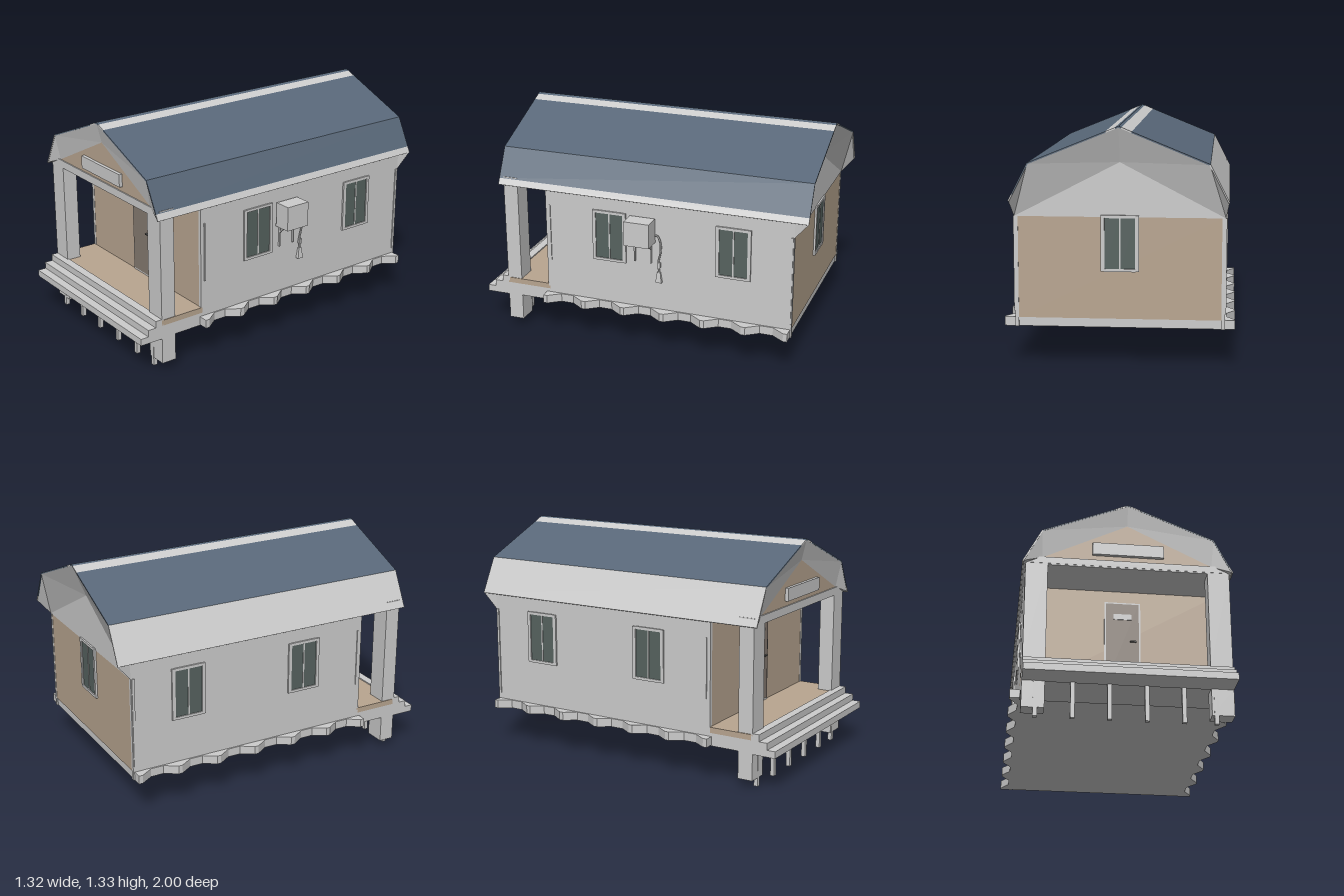
import * as THREE from 'three';

const GREY = 0xcccccc, TAN = 0xb8a590, BLUE = 0x586778, DOOR = 0x857a70, GLASS = 0x56625f, DARK = 0x555555;
const X0 = -0.605, X1 = 0.55, MID = -0.03;   // side walls and ridge line
const FRONT = 0.59, BACK = -0.92;            // end walls

const mats = {};
const mat = (color) => (mats[color] ??= new THREE.MeshStandardMaterial({ color, flatShading: true, side: THREE.DoubleSide }));

export function createModel() {
  const model = new THREE.Group();

  const add = (name, geo, color = GREY, parent = model) => {
    const m = new THREE.Mesh(geo, mat(color));
    m.name = name;
    parent.add(m);
    return m;
  };
  // Box given by its limits on each axis
  const box = (name, x0, x1, y0, y1, z0, z1, color, parent) => {
    const m = add(name, new THREE.BoxGeometry(x1 - x0, y1 - y0, z1 - z0), color, parent);
    m.position.set((x0 + x1) / 2, (y0 + y1) / 2, (z0 + z1) / 2);
    return m;
  };
  // Outline in x and y, extruded from z0 to z1
  const prism = (name, pts, z0, z1, color) => {
    const shape = new THREE.Shape(pts.map(([x, y]) => new THREE.Vector2(x, y)));
    const geo = new THREE.ExtrudeGeometry(shape, { depth: z1 - z0, bevelEnabled: false });
    return add(name, geo.translate(0, 0, z0), color);
  };
  const facets = (name, tris, color) => {
    const geo = new THREE.BufferGeometry();
    geo.setAttribute('position', new THREE.Float32BufferAttribute(tris.flat(2), 3));
    geo.computeVertexNormals();
    return add(name, geo, color);
  };

  // Floor plate with sawtooth long edges
  const edge = (wall, tip, shift) => {
    const pts = [];
    for (let i = 0; i < 7; i++) {
      const z = -0.9 + i * 0.248 + shift;
      pts.push([tip, z - 0.012], [tip, z + 0.012]);
      if (i < 6) pts.push([wall, z + 0.085], [wall, z + 0.163]);
    }
    return pts;
  };
  const rim = [...edge(X0 - 0.008, -0.66, 0), ...edge(X1 + 0.008, 0.61, 0).reverse()];
  const plate = new THREE.Shape(rim.map(([x, z]) => new THREE.Vector2(x, -z)));
  const plateGeo = new THREE.ExtrudeGeometry(plate, { depth: 0.05, bevelEnabled: false });
  add('floorPlate', plateGeo.rotateX(-Math.PI / 2).translate(0, 0.215, 0));

  // Walls
  const T = 0.02;
  box('rightWall', X0, X0 + T, 0.215, 0.93, BACK, FRONT);
  box('leftWall', X1 - T, X1, 0.215, 0.93, BACK, FRONT);
  box('frontWall', X0 + T, X1 - T, 0.265, 0.93, FRONT - T, FRONT - 0.002, TAN);
  box('backWall', X0 + T, X1 - T, 0.265, 0.83, BACK + 0.002, BACK + T, TAN);
  box('ceiling', X0 - 0.012, X1 + 0.012, 0.922, 0.932, BACK, 0.86);
  for (const [a, b] of [[X0 - 0.006, X0], [X1, X1 + 0.006]]) {
    box('cornerTrim', a, b, 0.3, 0.83, -0.915, -0.9);
    box('cornerTrim', a, b, 0.48, 0.83, 0.56, 0.568);
  }

  // Porch deck, steps, posts and stilts
  box('deckBase', X0, X1, 0.21, 0.285, FRONT - 0.01, 0.86);
  box('deckBoards', X0, X1, 0.285, 0.318, FRONT - 0.01, 0.86, TAN);
  [[0.285, 0.325, 0.9], [0.245, 0.285, 0.95], [0.205, 0.245, 1.0]].forEach(([y0, y1, z]) =>
    box('step', X0, X1, y0, y1, 0.85, z));
  for (const x of [X0, X1 - 0.125]) {
    box('porchPost', x, x + 0.125, 0.32, 0.93, 0.77, 0.86);
    box('postFooting', x, x + 0.125, 0.05, 0.21, 0.77, 0.86);
  }
  for (const x of [-0.53, -0.33, -0.13, 0.073, 0.275, 0.45])
    box('stilt', x - 0.012, x + 0.012, 0, 0.24, 0.838, 0.862);
  box('porchBeam', X0, X1, 0.93, 0.97, 0.77, 0.862);

  // Roof: strips along a gambrel profile, each with its own colour
  const profile = [
    [-0.625, 0.925, GREY], [-0.52, 1.13, BLUE], [-0.1, 1.301, GREY], [-0.045, 1.324, BLUE],
    [MID, 1.33, BLUE], [-0.01, 1.322, GREY], [0.04, 1.302, BLUE], [0.465, 1.13, BLUE],
    [0.552, 0.96, GREY], [0.57, 0.925],
  ];
  for (let i = 0; i < profile.length - 1; i++) {
    const [ax, ay, color] = profile[i], [bx, by] = profile[i + 1];
    const len = Math.hypot(bx - ax, by - ay), k = 0.008 / len;
    const nx = (by - ay) * k, ny = -(bx - ax) * k;
    prism('roofStrip', [[ax, ay], [bx, by], [bx + nx, by + ny], [ax + nx, ay + ny]], -1, 0.885, color);
  }

  // Gables: triangle set back from the roof edge, joined to it by sloping facets
  const gable = (name, zRoof, zTri, iL, iR, apex, color) => {
    const [eL, bL, r, bR, eR] = [[-0.622, 0.925], [-0.517, 1.126], [MID, 1.326], [0.462, 1.126], [0.567, 0.925]]
      .map(([x, y]) => [x, y, zRoof]);
    const [L, R, A] = [iL, iR, apex].map(([x, y]) => [x, y, zTri]);
    const cL = [X0, 0.925, zTri], cR = [X1, 0.925, zTri];
    facets(name + 'Soffit', [
      [eL, bL, L], [bL, A, L], [bL, r, A],
      [r, bR, A], [bR, R, A], [bR, eR, R],
      [eL, L, cL], [eR, cR, R],
    ]);
    facets(name + 'Triangle', [[L, R, A]], color);
  };
  gable('frontGable', 0.885, 0.855, [-0.51, 0.97], [0.45, 0.97], [MID, 1.205], TAN);
  gable('backGable', -1, BACK, [X0, 0.83], [X1, 0.83], [MID, 1.13], GREY);
  box('signBoard', -0.23, 0.175, 1.0, 1.075, 0.855, 0.875);

  // Door
  box('doorFrame', -0.133, 0.076, 0.318, 0.848, FRONT - 0.01, FRONT + 0.004);
  box('door', -0.123, 0.066, 0.33, 0.838, FRONT - 0.01, FRONT + 0.008, DOOR);
  box('doorPlate', -0.08, 0.024, 0.735, 0.77, FRONT, FRONT + 0.012);
  box('doorHandle', 0.015, 0.05, 0.593, 0.6, FRONT, FRONT + 0.02, DARK);

  // Sliding windows, built facing +z
  const makeWindow = (x, z, turn) => {
    const g = new THREE.Group();
    g.name = 'window';
    for (const s of [-1, 1]) {
      box('frameSide', s * 0.094 - 0.01, s * 0.094 + 0.01, -0.155, 0.155, -0.005, 0.01, GREY, g);
      box('frameRail', -0.085, 0.085, s * 0.148 - 0.008, s * 0.148 + 0.008, -0.005, 0.01, GREY, g);
      box('pane', s * 0.044 - 0.041, s * 0.044 + 0.041, -0.142, 0.142, -0.005, 0.004, GLASS, g);
    }
    box('mullion', -0.004, 0.004, -0.142, 0.142, -0.005, 0.007, GREY, g);
    g.position.set(x, 0.685, z);
    g.rotation.y = turn;
    model.add(g);
  };
  for (const z of [0.185, -0.57]) {
    makeWindow(X1, z, Math.PI / 2);
    makeWindow(X0, z, -Math.PI / 2);
  }
  makeWindow(MID, BACK, Math.PI);

  // Wall-mounted cooling unit with brackets, hose and switch box
  box('coolingUnit', X1 + 0.008, 0.66, 0.702, 0.835, -0.1, 0.053);
  box('unitBase', X1, 0.66, 0.688, 0.702, -0.1, 0.053);
  for (const z of [0.026, -0.075]) {
    box('bracketUpright', X1, X1 + 0.012, 0.555, 0.69, z - 0.004, z + 0.004);
    const strut = add('bracketStrut', new THREE.BoxGeometry(0.07, 0.008, 0.008));
    strut.position.set(X1 + 0.032, 0.665, z);
    strut.rotation.z = 0.7;
  }
  const hose = new THREE.CatmullRomCurve3([
    [0.73, -0.1], [0.735, -0.115], [0.69, -0.135], [0.63, -0.135], [0.57, -0.122], [0.5, -0.127],
  ].map(([y, z]) => new THREE.Vector3(X1 + 0.012, y, z)));
  add('hose', new THREE.TubeGeometry(hose, 24, 0.006, 6));
  box('hoseCoupling', X1, X1 + 0.02, 0.535, 0.565, -0.134, -0.12);
  const plug = add('switchBox', new THREE.CylinderGeometry(0.014, 0.026, 0.065, 4, 1, false, Math.PI / 4));
  plug.scale.x = 0.6;
  plug.position.set(X1 + 0.012, 0.475, -0.125);

  return model;
}
